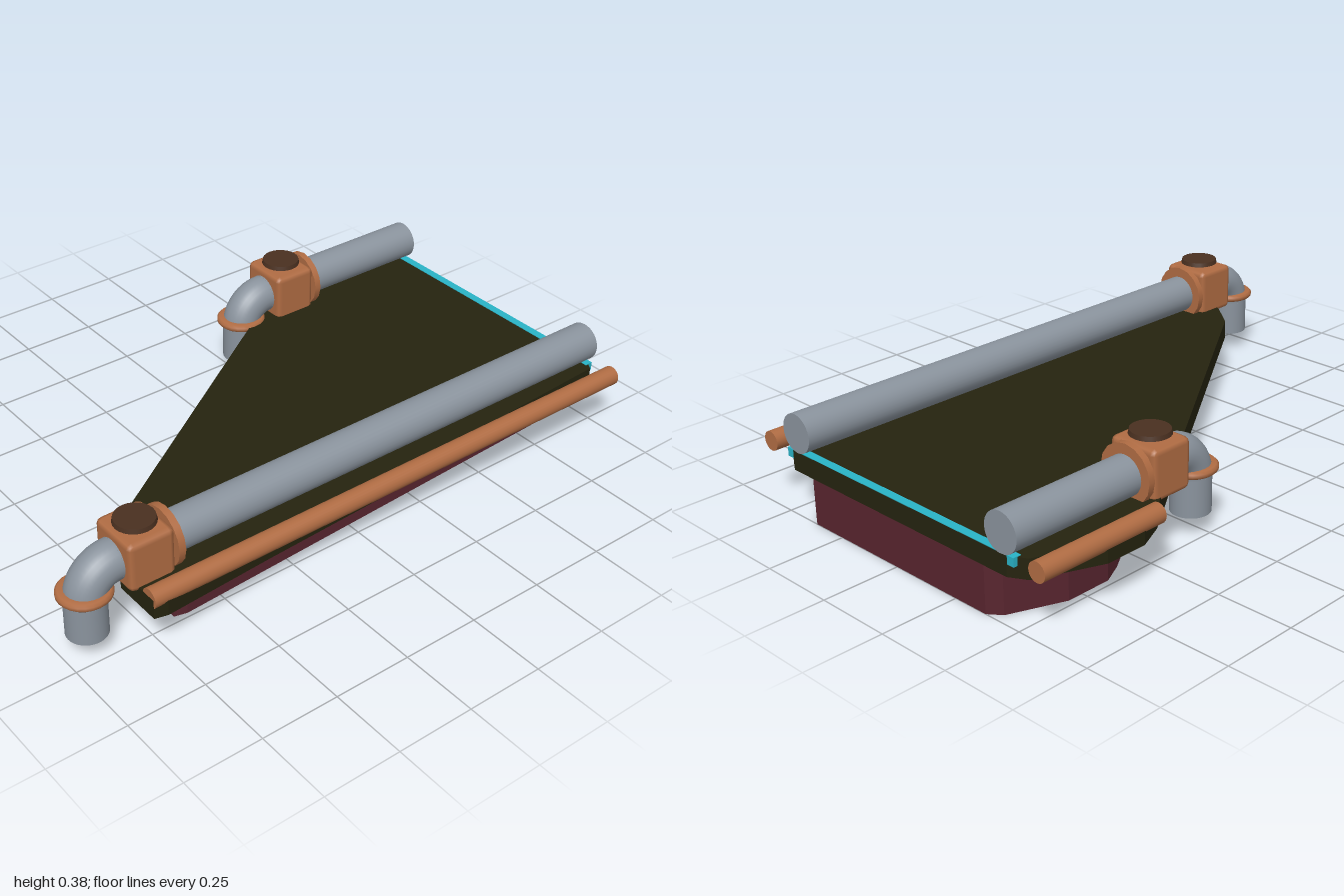
import * as THREE from 'three';
import { RoundedBoxGeometry } from 'three/addons/geometries/RoundedBoxGeometry.js';

const mat = (name, color) => {
  const m = new THREE.MeshStandardMaterial({ color });
  m.name = name;
  return m;
};

export function createModel() {
  const model = new THREE.Group();
  const olive = mat('dark olive', 0x25230f);
  const maroon = mat('maroon', 0x58252f);
  const copper = mat('copper', 0xb06c43);
  const steel = mat('grey steel', 0x8a939d);
  const cyan = mat('cyan', 0x2ab3c7);
  const brown = mat('dark brown', 0x4a3020);

  const add = (parent, name, geometry, material, x = 0, y = 0, z = 0) => {
    const mesh = new THREE.Mesh(geometry, material);
    mesh.name = name;
    mesh.position.set(x, y, z);
    parent.add(mesh);
    return mesh;
  };

  // Horizontal plate from an outline of [x, z] points
  const plate = (name, points, y0, y1, material) => {
    const shape = new THREE.Shape(points.map(([x, z]) => new THREE.Vector2(x, -z)));
    const g = new THREE.ExtrudeGeometry(shape, { depth: y1 - y0, bevelEnabled: false });
    add(model, name, g.rotateX(-Math.PI / 2), material, 0, y0, 0);
  };

  // Cylinder lying along x
  const bar = (r, x0, x1, sides = 32) =>
    new THREE.CylinderGeometry(r, r, x1 - x0, sides).rotateZ(Math.PI / 2).translate((x0 + x1) / 2, 0, 0);

  // Lower body and wider deck
  plate('lowerBody', [
    [1, 0.37], [0.975, 0.408], [-0.62, 0.485], [-0.66, 0.475], [-0.66, 0.43], [-0.61, 0.34], [-0.5, 0.26],
    [0.58, -0.445], [0.65, -0.48], [0.8, -0.48], [0.97, -0.41], [1, -0.37],
  ], 0, 0.147, maroon);
  plate('deck', [
    [1, 0.46], [0.97, 0.507], [0.47, 0.536], [-0.4, 0.578], [-0.76, 0.6], [-0.8, 0.59], [-0.8, 0.43],
    [-0.75, 0.34], [-0.67, 0.24], [0.27, -0.38], [0.54, -0.56], [0.63, -0.6], [0.77, -0.6],
    [0.97, -0.515], [1, -0.46],
  ], 0.147, 0.21, olive);

  // Light strip along the edge of the deck
  add(model, 'edgeStrip', new THREE.BoxGeometry(0.027, 0.028, 0.974), cyan, 0.9855, 0.198, 0);

  // Thin side rails
  add(model, 'frontRail', bar(0.031, -0.8, 1, 24), copper, 0, 0.205, 0.57);
  add(model, 'backRail', bar(0.031, 0.55, 1, 24), copper, 0, 0.205, -0.574);

  // Pipe with a bent-down end, a valve block and a capped top
  const pipe = (name, elbowX, z) => {
    const g = new THREE.Group();
    g.name = name;
    const r = 0.062, bend = 0.09, cx = elbowX + bend;
    add(g, 'pipeRun', bar(r, cx, 1), steel, 0, 0.27, 0);
    add(g, 'pipeElbow', new THREE.TorusGeometry(bend, r, 24, 14, Math.PI / 2).rotateZ(Math.PI / 2),
      steel, cx, 0.18, 0);
    add(g, 'pipeOutlet', new THREE.CylinderGeometry(r, r, 0.117, 32), steel, elbowX, 0.1225, 0);

    // Rounded collar on the outlet
    const collar = [[0.055, -0.012], [0.074, -0.012], [0.081, -0.005], [0.081, 0.005], [0.074, 0.012], [0.055, 0.012]];
    add(g, 'outletCollar', new THREE.LatheGeometry(collar.map(([a, b]) => new THREE.Vector2(a, b)), 24),
      copper, elbowX, 0.205, 0);

    // Valve block, side flange and cap
    const vx = elbowX + 0.17;
    add(g, 'valveBlock', new RoundedBoxGeometry(0.15, 0.16, 0.172, 1, 0.018), copper, vx, 0.276, 0);
    add(g, 'valveFlange', bar(0.093, 0.08, 0.102, 16), copper, vx, 0.272, 0);
    add(g, 'valveStem', new THREE.CylinderGeometry(0.045, 0.045, 0.02, 24), copper, vx, 0.36, 0);
    add(g, 'valveCap', new THREE.CylinderGeometry(0.06, 0.063, 0.014, 24), brown, vx, 0.371, 0);
    g.position.z = z;
    model.add(g);
  };
  pipe('frontPipe', -0.92, 0.437);
  pipe('backPipe', 0.27, -0.441);

  return model;
}
